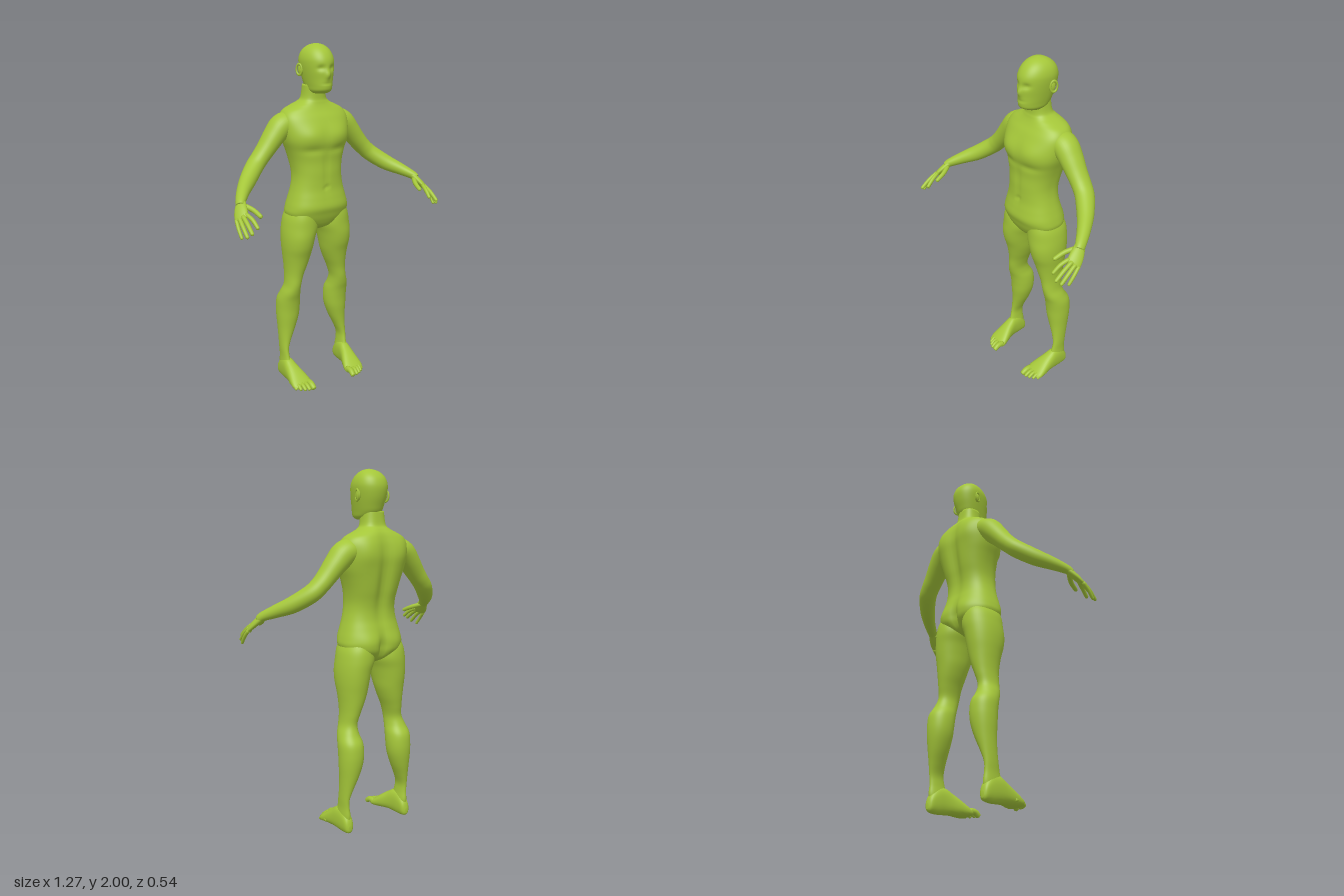
import * as THREE from 'three';

const skin = new THREE.MeshStandardMaterial({ color: 0xa4c639 });
skin.name = 'lime skin';

const spow = (v, n) => Math.sign(v) * Math.abs(v) ** (2 / n);

// Smoothly interpolated value between rows of numbers
function sampleRows(rows, t) {
  const i = Math.min(Math.floor(t), rows.length - 2), f = t - i;
  const at = k => rows[Math.max(0, Math.min(rows.length - 1, k))];
  return rows[i].map((_, c) => {
    const p0 = at(i - 1)[c], p1 = at(i)[c], p2 = at(i + 1)[c], p3 = at(i + 2)[c];
    return p1 + 0.5 * f * (p2 - p0 + f * (2 * p0 - 5 * p1 + 4 * p2 - p3 + f * (3 * (p1 - p2) + p3 - p0)));
  });
}

// Closed skin over rings; ring(t) returns a function from angle to point
function skinRings(ring, rowCount, sub, segs) {
  const pos = [], idx = [], rings = (rowCount - 1) * sub;
  for (let i = 0; i <= rings; i++) {
    const point = ring(i / sub);
    for (let j = 0; j < segs; j++) pos.push(...point(j / segs * Math.PI * 2));
  }
  for (let i = 0; i < rings; i++) for (let j = 0; j < segs; j++) {
    const k = (j + 1) % segs, a = i * segs + j, b = i * segs + k;
    idx.push(a, a + segs, b, b, a + segs, b + segs);
  }
  // end caps
  for (const [start, flip] of [[0, false], [rings * segs, true]]) {
    const c = [0, 0, 0], n = pos.length / 3;
    for (let j = 0; j < segs; j++) for (let d = 0; d < 3; d++) c[d] += pos[(start + j) * 3 + d] / segs;
    pos.push(...c);
    for (let j = 0; j < segs; j++) {
      const a = start + j, b = start + (j + 1) % segs;
      flip ? idx.push(n, b, a) : idx.push(n, a, b);
    }
  }
  const g = new THREE.BufferGeometry();
  g.setAttribute('position', new THREE.Float32BufferAttribute(pos, 3));
  g.setIndex(idx);
  g.computeVertexNormals();
  return g;
}

// Upright form from rows [y, xMin, xMax, zFront, zBack]
function upright(rows, n = 2.1, split = 0.5, segs = 48) {
  return skinRings(t => {
    const [y, x0, x1, zf, zb] = sampleRows(rows, t);
    const cz = zb + (zf - zb) * split;
    return a => {
      const s = spow(Math.sin(a), n);
      return [(x0 + x1) / 2 + spow(Math.cos(a), n) * (x1 - x0) / 2, y, cz + s * (s > 0 ? zf - cz : cz - zb)];
    };
  }, rows.length, 5, segs);
}

// Limb along a path from rows [x, y, z, thickness, width]; width lies along ref
function limb(rows, ref, segs = 24, sub = 5) {
  const last = rows.length - 1;
  return skinRings(t => {
    const [x, y, z, ru, rv] = sampleRows(rows, t);
    const c = new THREE.Vector3(x, y, z);
    const p = sampleRows(rows, Math.max(0, t - 0.05)), q = sampleRows(rows, Math.min(last, t + 0.05));
    const dir = new THREE.Vector3(q[0] - p[0], q[1] - p[1], q[2] - p[2]).normalize();
    const u = dir.clone().cross(ref).normalize(), v = u.clone().cross(dir);
    return a => c.clone().addScaledVector(u, Math.cos(a) * ru).addScaledVector(v, Math.sin(a) * rv).toArray();
  }, rows.length, sub, segs);
}

// Finger or toe through three points with a rounded tip
function digit(p0, p1, p2, r) {
  const mix = k => p1.map((v, i) => v + (p2[i] - v) * k);
  const rows = [[p0, 1], [p1, 0.98], [mix(0.8), 0.85], [mix(0.94), 0.6], [p2, 0.08]];
  return limb(rows.map(([p, s]) => [...p, r * s, r * s]), new THREE.Vector3(1, 0, 0), 12, 3);
}

// Push z by soft bumps [x, y, z, sx, sy, sz, dz], mirrored in x
function sculpt(g, bumps) {
  const p = g.attributes.position;
  for (let i = 0; i < p.count; i++) {
    const x = Math.abs(p.getX(i)), y = p.getY(i), z = p.getZ(i);
    let d = 0;
    for (const [bx, by, bz, sx, sy, sz, dz] of bumps)
      d += dz * Math.exp(-(((x - bx) / sx) ** 2) - ((y - by) / sy) ** 2 - ((z - bz) / sz) ** 2);
    p.setZ(i, z + d);
  }
  g.computeVertexNormals();
  return g;
}

function mirrored(g) {
  const m = g.clone().scale(-1, 1, 1), ix = m.index;
  for (let i = 0; i < ix.count; i += 3) {
    const b = ix.getX(i + 1);
    ix.setX(i + 1, ix.getX(i + 2));
    ix.setX(i + 2, b);
  }
  m.computeVertexNormals();
  return m;
}

export function createModel() {
  const model = new THREE.Group();
  model.name = 'human figure';
  const add = (name, g, parent = model) => {
    const m = new THREE.Mesh(g, skin);
    m.name = name;
    parent.add(m);
  };
  const pair = (name, g) => { add('left ' + name, g); add('right ' + name, mirrored(g)); };

  // Torso and neck: [y, half width, front, back]
  const torso = [
    [0.955, 0.03, -0.07, -0.15], [0.98, 0.09, -0.025, -0.205], [1.02, 0.165, 0, -0.236], [1.06, 0.19, 0.015, -0.243],
    [1.10, 0.186, 0.027, -0.243], [1.15, 0.172, 0.02, -0.232], [1.20, 0.158, 0.011, -0.22], [1.25, 0.148, 0.009, -0.218],
    [1.30, 0.146, 0.009, -0.226], [1.36, 0.155, 0.007, -0.242], [1.42, 0.172, 0.012, -0.254], [1.48, 0.194, 0.018, -0.262],
    [1.54, 0.205, 0.004, -0.266], [1.60, 0.205, -0.022, -0.258], [1.64, 0.182, -0.047, -0.246], [1.665, 0.135, -0.06, -0.234],
    [1.685, 0.092, -0.067, -0.218], [1.71, 0.07, -0.072, -0.2], [1.78, 0.062, -0.07, -0.19],
  ].map(([y, w, f, b]) => [y, -w, w, f, b]);
  add('torso', sculpt(upright(torso, 2.4, 0.5, 72), [
    [0.085, 1.515, 0, 0.07, 0.05, 0.07, 0.012],        // chest
    [0.08, 1.43, 0, 0.07, 0.02, 0.06, -0.007],         // crease under chest
    [0, 1.32, 0, 0.016, 0.13, 0.05, -0.006],           // midline
    [0, 1.215, 0.01, 0.012, 0.012, 0.05, -0.008],      // navel
    [0, 1.40, -0.25, 0.035, 0.22, 0.08, 0.026],        // spine groove
    [0.11, 1.57, -0.24, 0.06, 0.08, 0.07, -0.013],     // shoulder blades
    [0.09, 1.06, -0.24, 0.06, 0.06, 0.07, -0.012],     // buttocks
    [0, 1.04, -0.24, 0.02, 0.07, 0.09, 0.03],          // cleft
  ]));

  // Head: [y, half width, front, back]
  const head = [
    [1.735, 0.045, -0.035, -0.13], [1.75, 0.06, -0.004, -0.165], [1.775, 0.067, 0.004, -0.19], [1.81, 0.075, 0.003, -0.204],
    [1.85, 0.083, 0.005, -0.217], [1.89, 0.089, 0.003, -0.224], [1.92, 0.089, -0.003, -0.222], [1.95, 0.08, -0.02, -0.21],
    [1.975, 0.062, -0.045, -0.186], [1.992, 0.036, -0.075, -0.155], [2.0, 0.004, -0.11, -0.12],
  ].map(([y, w, f, b]) => [y, -w, w, f, b]);
  const skull = sculpt(upright(head, 2.1, 0.42, 64), [
    [0, 1.835, 0, 0.013, 0.022, 0.05, 0.014],          // nose
    [0.033, 1.872, -0.01, 0.02, 0.014, 0.05, -0.012],  // eye sockets
    [0, 1.79, 0, 0.03, 0.006, 0.04, -0.004],           // mouth
  ]);
  const headGroup = new THREE.Group();
  headGroup.name = 'head';
  headGroup.position.x = 0.01;
  model.add(headGroup);
  add('skull and face', skull, headGroup);
  for (const s of [1, -1]) {
    const side = s > 0 ? 'left' : 'right';
    add(side + ' ear', new THREE.SphereGeometry(1, 20, 14).scale(0.012, 0.03, 0.019)
      .rotateY(s * -0.25).translate(s * 0.087, 1.86, -0.137), headGroup);
    add(side + ' ear rim', new THREE.TorusGeometry(0.02, 0.005, 8, 24).rotateY(Math.PI / 2)
      .scale(1, 1.45, 1).rotateY(s * -0.3).translate(s * 0.096, 1.86, -0.14), headGroup);
  }

  // Legs: [y, inner x, outer x, front, back]
  pair('leg', upright([
    [0.05, 0.178, 0.228, -0.1, -0.195], [0.10, 0.178, 0.23, -0.085, -0.203], [0.15, 0.185, 0.228, -0.1, -0.198],
    [0.20, 0.185, 0.23, -0.11, -0.2], [0.26, 0.162, 0.231, -0.112, -0.212], [0.33, 0.13, 0.233, -0.108, -0.228],
    [0.40, 0.106, 0.237, -0.1, -0.24], [0.46, 0.098, 0.238, -0.095, -0.243], [0.52, 0.1, 0.236, -0.085, -0.235],
    [0.57, 0.11, 0.223, -0.07, -0.205], [0.62, 0.112, 0.205, -0.06, -0.188], [0.68, 0.096, 0.199, -0.055, -0.198],
    [0.74, 0.072, 0.201, -0.043, -0.21], [0.80, 0.052, 0.207, -0.028, -0.22], [0.86, 0.04, 0.213, -0.008, -0.23],
    [0.92, 0.027, 0.214, 0.002, -0.237], [0.98, 0.008, 0.208, 0.002, -0.242], [1.04, 0.015, 0.195, 0, -0.235],
    [1.10, 0.03, 0.165, -0.01, -0.21],
  ]));

  // Feet: [z, inner x, outer x, bottom, top]
  const foot = [
    [-0.213, 0.195, 0.215, 0.02, 0.05], [-0.2, 0.178, 0.23, 0.006, 0.09], [-0.16, 0.171, 0.236, 0, 0.135],
    [-0.11, 0.165, 0.24, 0.002, 0.142], [-0.07, 0.155, 0.243, 0.004, 0.122], [-0.03, 0.14, 0.247, 0.002, 0.096],
    [0.01, 0.127, 0.251, 0, 0.066], [0.035, 0.126, 0.248, 0.002, 0.046], [0.05, 0.135, 0.235, 0.01, 0.032],
  ];
  pair('foot', skinRings(t => {
    const [z, x0, x1, y0, y1] = sampleRows(foot, t);
    return a => [(x0 + x1) / 2 + spow(Math.cos(a), 2.3) * (x1 - x0) / 2,
      (y0 + y1) / 2 - spow(Math.sin(a), 2.3) * (y1 - y0) / 2, z];
  }, foot.length, 5, 32));
  for (let i = 0; i < 5; i++) {
    const x = [0.144, 0.173, 0.196, 0.218, 0.238][i], r = [0.018, 0.0125, 0.012, 0.0115, 0.011][i];
    const tip = [0.096, 0.094, 0.085, 0.07, 0.05][i];
    pair('toe ' + (i + 1), digit([x, 0.03, tip - 0.075], [x, 0.032, tip - 0.035], [x - 0.002, 0.012, tip], r));
  }

  // Arms: shoulder to wrist
  pair('arm', limb([
    [0.10, 1.585, -0.155, 0.04, 0.05], [0.15, 1.575, -0.152, 0.062, 0.072], [0.2, 1.556, -0.15, 0.068, 0.074],
    [0.25, 1.505, -0.147, 0.06, 0.068], [0.30, 1.445, -0.142, 0.052, 0.06], [0.345, 1.395, -0.136, 0.048, 0.056],
    [0.39, 1.352, -0.118, 0.048, 0.053], [0.46, 1.298, -0.058, 0.045, 0.045], [0.52, 1.262, 0.01, 0.035, 0.036],
    [0.565, 1.232, 0.072, 0.025, 0.029], [0.58, 1.215, 0.095, 0.02, 0.026],
  ], new THREE.Vector3(0, 0, 1), 36));

  // Hands: palm, thumb and four fingers
  pair('palm', limb([
    [0.556, 1.238, 0.06, 0.018, 0.022], [0.572, 1.218, 0.088, 0.019, 0.03], [0.587, 1.193, 0.118, 0.018, 0.037],
    [0.599, 1.169, 0.146, 0.014, 0.038], [0.603, 1.16, 0.158, 0.008, 0.032],
  ], new THREE.Vector3(0.7, -0.45, -0.5)));
  pair('thumb', digit([0.568, 1.218, 0.085], [0.532, 1.197, 0.145], [0.516, 1.17, 0.212], 0.0135));
  [
    [[0.577, 1.184, 0.158], [0.564, 1.163, 0.205], [0.556, 1.125, 0.252]],
    [[0.594, 1.176, 0.156], [0.596, 1.148, 0.21], [0.597, 1.106, 0.27]],
    [[0.609, 1.164, 0.148], [0.614, 1.131, 0.197], [0.614, 1.085, 0.248]],
    [[0.621, 1.153, 0.135], [0.627, 1.118, 0.17], [0.627, 1.072, 0.208]],
  ].forEach((p, i) => pair('finger ' + (i + 1), digit(...p, [0.0115, 0.012, 0.0115, 0.01][i])));

  return model;
}
